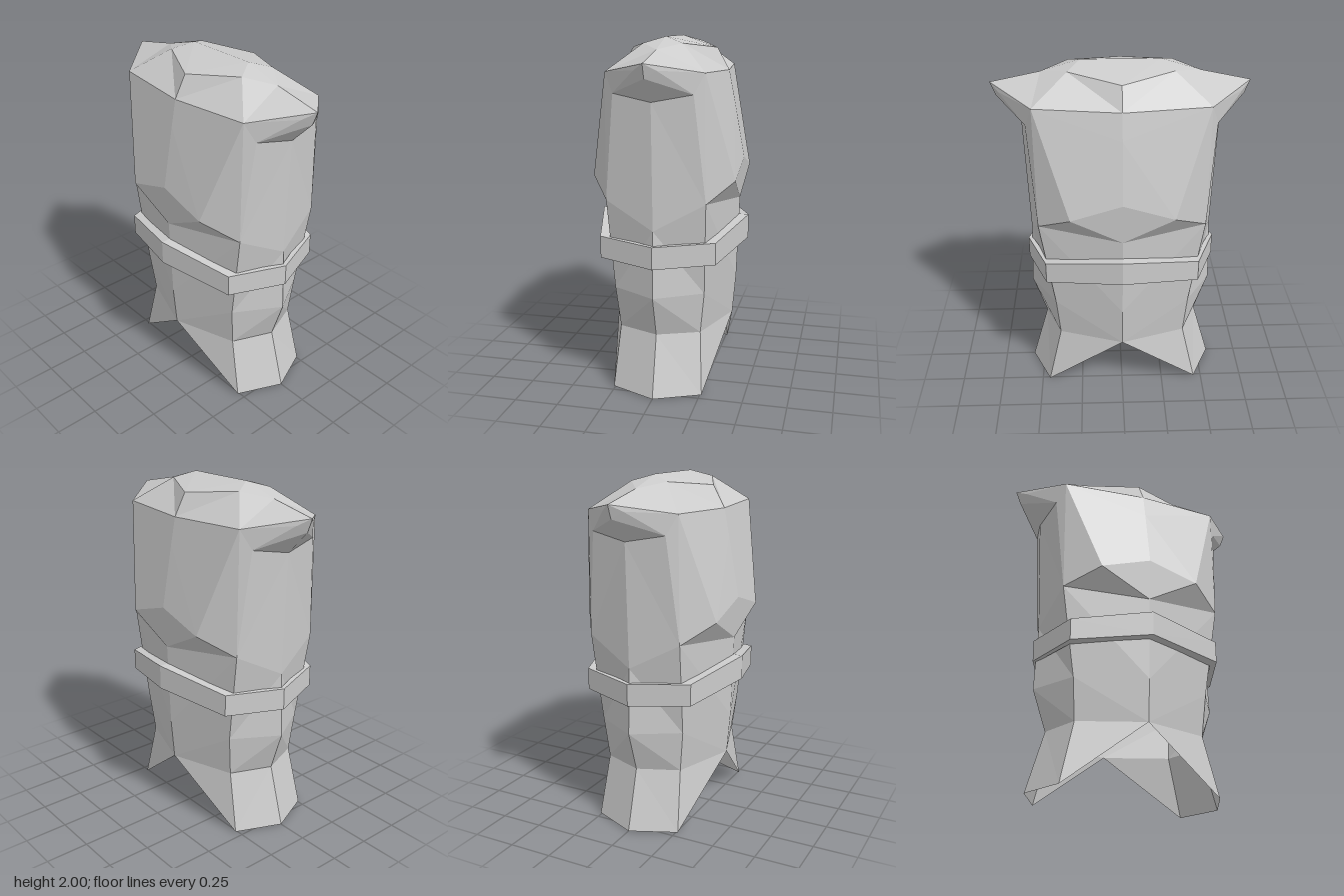
import * as THREE from 'three';

// One quarter of each part (+x, +z) is described; the rest is mirrored.
function mirroredMesh(name, points, tris) {
  const pos = [];
  for (const sx of [1, -1]) {
    for (const sz of [1, -1]) {
      for (const [a, b, c] of tris) {
        const order = sx * sz > 0 ? [a, b, c] : [a, c, b];
        for (const k of order) {
          const [x, y, z] = points[k];
          pos.push(x * sx, y, z * sz);
        }
      }
    }
  }
  const geometry = new THREE.BufferGeometry();
  geometry.setAttribute('position', new THREE.Float32BufferAttribute(pos, 3));
  geometry.computeVertexNormals();
  const material = new THREE.MeshStandardMaterial({
    color: 0xcccccc, flatShading: true, side: THREE.DoubleSide,
  });
  const mesh = new THREE.Mesh(geometry, material);
  mesh.name = name;
  return mesh;
}

// Rows of [centre, corner, side] points become strips of quads, bottom to top.
function addRows(rows, points, tris) {
  rows.forEach((row, r) => row.forEach((p, i) => { points[`${r}${'CKS'[i]}`] = p; }));
  for (let r = 0; r < rows.length - 1; r++) {
    for (const [l, k] of ['CK', 'KS']) {
      tris.push([`${r}${l}`, `${r}${k}`, `${r + 1}${k}`], [`${r}${l}`, `${r + 1}${k}`, `${r + 1}${l}`]);
    }
  }
}

function createBody() {
  const points = {
    // chest
    bust: [0.29, 1.22, 0.41], peak: [0, 1.31, 0.415], notch: [0, 1.66, 0.35],
    // neck edge and shoulder
    mid: [0, 1.81, 0.32], yoke: [0.48, 1.82, 0.273],
    armpit: [0.56, 1.67, 0], fold: [0.52, 1.71, 0.22],
    under: [0.69, 1.8, 0], rim: [0.67, 1.84, 0.06], tip: [0.72, 1.877, 0],
    // crown
    slope: [0.44, 1.935, 0], bevel: [0.29, 1.965, 0.11], ridge: [0.22, 2, 0],
    brow: [0, 1.935, 0.25], top: [0, 2, 0],
  };
  const tris = [];
  // open skirt with two splayed legs, then waist and ribs
  addRows([
    [[0, 0.35, 0.36], [0.455, 0, 0.26], [0.57, 0, 0]],
    [[0, 0.35, 0.36], [0.375, 0.35, 0.235], [0.47, 0.35, 0]],
    [[0, 0.59, 0.38], [0.395, 0.59, 0.26], [0.55, 0.59, 0]],
    [[0, 1.07, 0.395], [0.475, 1.12, 0.28], [0.535, 0.97, 0]],
  ], points, tris);
  const faces = [
    // chest
    '3C 3K bust', '3C bust peak', 'peak bust notch', '3K yoke bust', 'bust yoke notch', 'notch yoke mid',
    // side
    '3K 3S armpit', '3K armpit fold', '3K fold yoke',
    // shoulder
    'fold armpit under', 'fold under rim', 'fold rim yoke', 'rim under tip',
    // crown
    'yoke rim tip', 'yoke tip slope', 'yoke slope bevel', 'bevel slope ridge',
    'mid yoke bevel', 'mid bevel brow', 'brow bevel ridge', 'brow ridge top',
  ];
  tris.push(...faces.map((f) => f.split(' ')));
  return mirroredMesh('torso', points, tris);
}

function createBelt() {
  const inner = [[0, 0.385], [0.425, 0.268], [0.535, 0]];
  const outer = [[0, 0.448], [0.44, 0.33], [0.56, 0]];
  const low = [0.825, 0.775, 0.76];
  const high = [0.965, 0.9, 0.887];
  const row = (ring, ys) => ring.map(([x, z], i) => [x, ys[i], z]);
  const points = {};
  const tris = [];
  addRows([row(inner, low), row(outer, low), row(outer, high), row(inner, high)], points, tris);
  return mirroredMesh('belt', points, tris);
}

export function createModel() {
  const model = new THREE.Group();
  model.name = 'tunic';
  model.add(createBody(), createBelt());
  return model;
}
